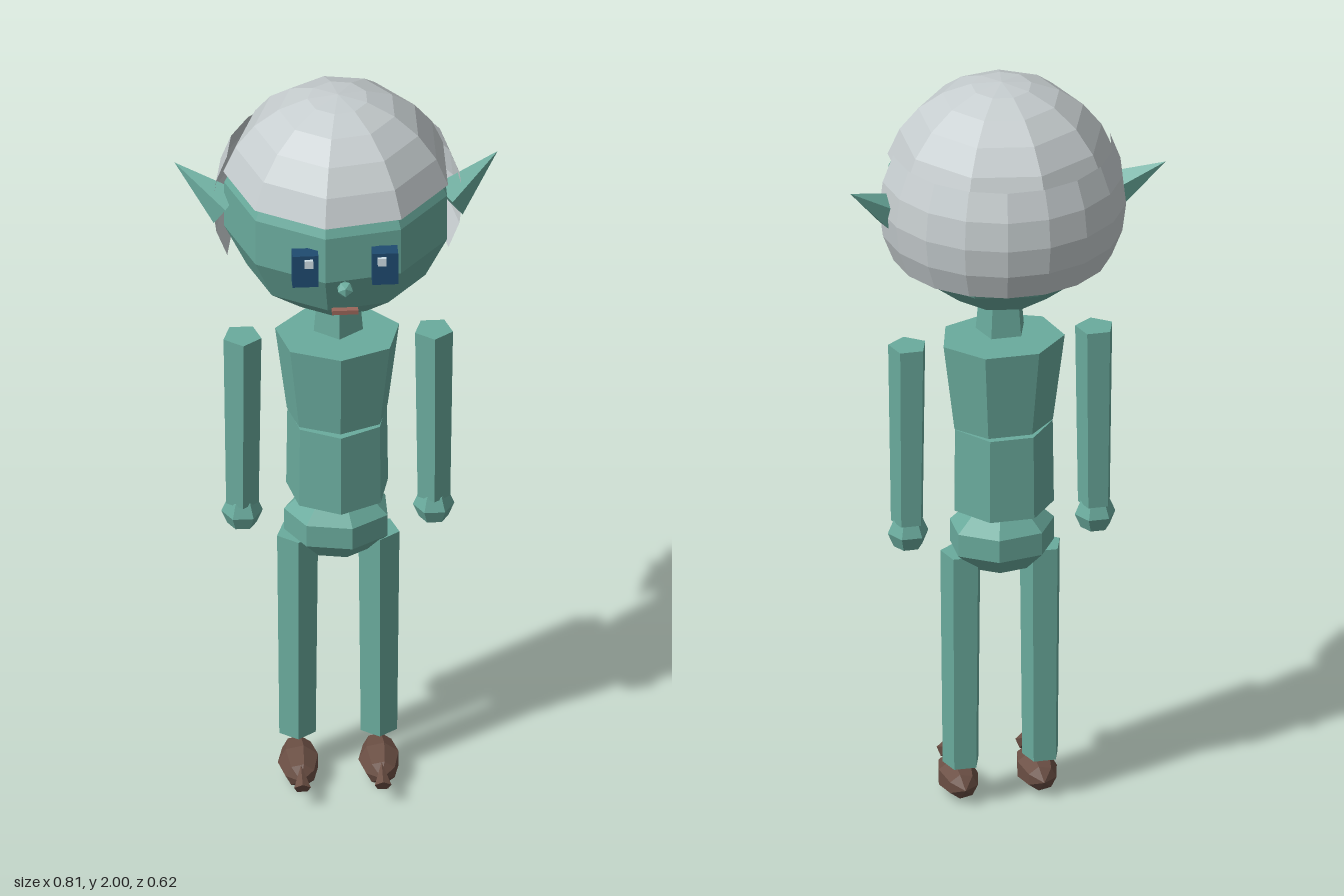
import * as THREE from 'three';

const material = (name, color, extra = {}) => {
  const m = new THREE.MeshStandardMaterial({ color, flatShading: true, ...extra });
  m.name = name;
  return m;
};

export function createModel() {
  const skin = material('greenSkin', 0x6aab9d);
  const hair = material('silverHair', 0xc6cdcf, { side: THREE.DoubleSide });
  const eyeBlue = material('eyeBlue', 0x1f4b70);
  const glint = material('eyeGlint', 0xd6e6ee);
  const lip = material('lip', 0x99665a);
  const leather = material('brownLeather', 0x6b4f44);

  const model = new THREE.Group();
  model.name = 'elf';

  const add = (name, geometry, mat, x, y, z) => {
    const mesh = new THREE.Mesh(geometry, mat);
    mesh.name = name;
    mesh.position.set(x, y, z);
    model.add(mesh);
    return mesh;
  };

  // Upright tapered prism between two heights
  const limb = (name, rTop, rBottom, sides, x, y0, y1) =>
    add(name, new THREE.CylinderGeometry(rTop, rBottom, y1 - y0, sides), skin, x, (y0 + y1) / 2, 0);

  // Cone from a base centre to its tip
  const spike = (name, mat, radius, sides, base, tip) => {
    const a = new THREE.Vector3(...base), b = new THREE.Vector3(...tip);
    const dir = b.clone().sub(a);
    const mid = a.clone().add(b).multiplyScalar(0.5);
    const cone = add(name, new THREE.ConeGeometry(radius, dir.length(), sides), mat, mid.x, mid.y, mid.z);
    cone.quaternion.setFromUnitVectors(new THREE.Vector3(0, 1, 0), dir.normalize());
  };

  // Head and hair
  add('head', new THREE.SphereGeometry(0.292, 9, 7), skin, 0, 1.685, 0);
  add('hairCap', new THREE.SphereGeometry(0.298, 9, 5, 0, Math.PI * 2, 0, 1.3), hair, 0, 1.702, 0);
  add('backHair', new THREE.SphereGeometry(0.314, 9, 4, Math.PI, Math.PI, 1.09, 0.97), hair, 0, 1.68, 0);

  // Nose and mouth
  add('nose', new THREE.IcosahedronGeometry(0.022, 0), skin, 0, 1.605, 0.288);
  add('mouth', new THREE.BoxGeometry(0.066, 0.012, 0.016), lip, 0, 1.535, 0.28);

  // Torso
  limb('neck', 0.055, 0.065, 5, 0, 1.31, 1.42);
  limb('chest', 0.133, 0.108, 7, 0, 1.055, 1.29).scale.x = 1.2;
  limb('waist', 0.128, 0.131, 7, 0, 0.83, 1.055);
  add('hips', new THREE.SphereGeometry(1, 7, 5), skin, 0, 0.74, 0).scale.set(0.142, 0.098, 0.115);

  for (const s of [-1, 1]) {
    const side = s > 0 ? 'left' : 'right';

    // Eyes and ears
    add(side + 'Eye', new THREE.BoxGeometry(0.065, 0.092, 0.038), eyeBlue, s * 0.1, 1.665, 0.275);
    add(side + 'EyeGlint', new THREE.BoxGeometry(0.022, 0.022, 0.009), glint, s * 0.092, 1.69, 0.298);
    spike(side + 'Ear', skin, 0.056, 5, [s * 0.275, 1.672, -0.01], [s * 0.405, 1.767, -0.072]);

    // Arms and hands
    limb(side + 'Arm', 0.05, 0.043, 5, s * 0.24, 0.8, 1.29);
    add(side + 'Hand', new THREE.SphereGeometry(0.052, 6, 4), skin, s * 0.24, 0.77, 0);

    // Legs
    limb(side + 'Leg', 0.054, 0.048, 5, s * 0.102, 0.11, 0.7);

    // Shoes with a separate curled tip
    const shoe = add(side + 'Shoe', new THREE.SphereGeometry(1, 7, 4).rotateX(Math.PI / 2),
      leather, s * 0.101, 0.048, 0.053);
    shoe.scale.set(0.053, 0.048, 0.093);
    spike(side + 'ShoeTip', leather, 0.022, 5, [s * 0.101, 0.055, 0.19], [s * 0.101, 0.09, 0.135]);
  }

  return model;
}
